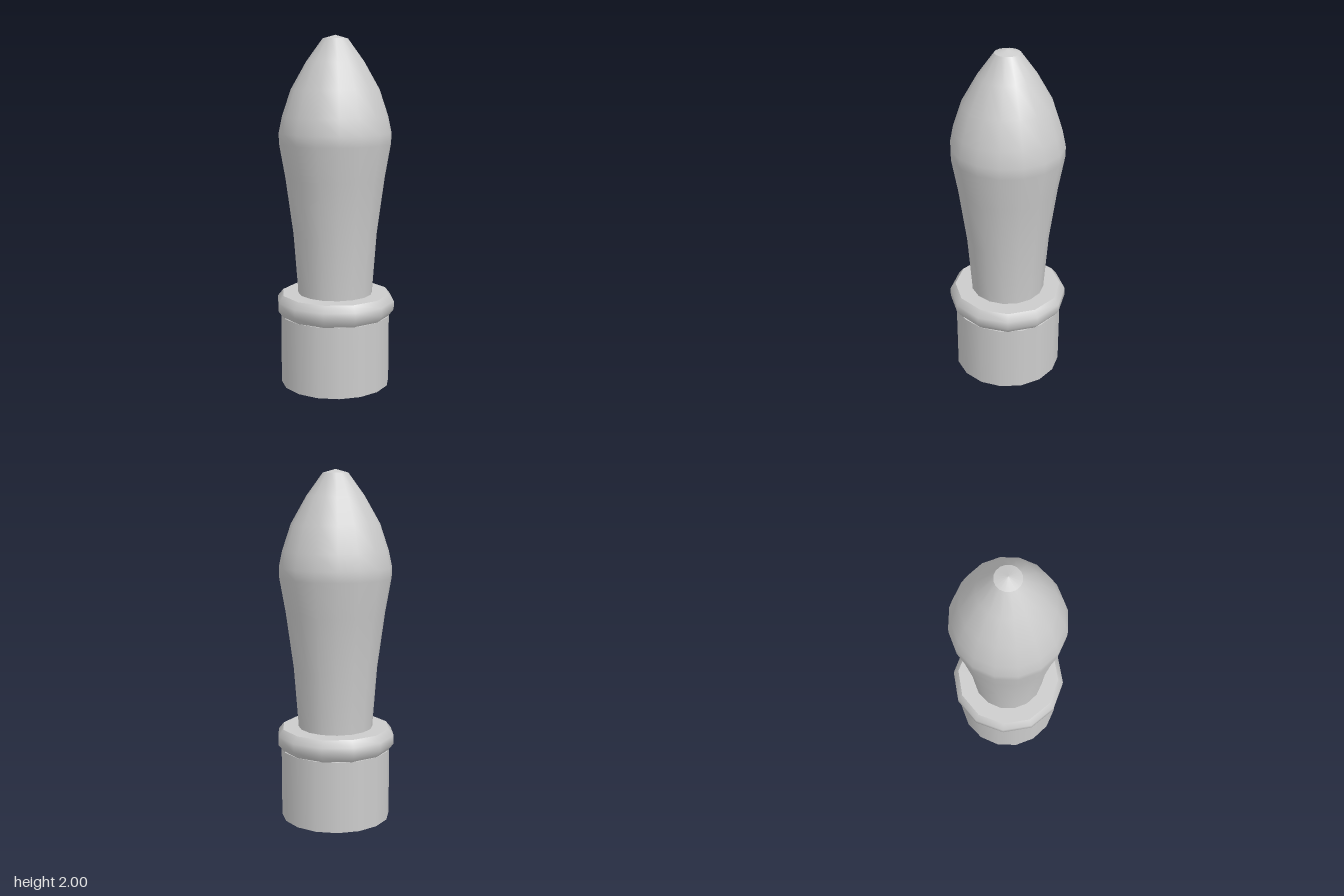
import * as THREE from 'three';

const material = new THREE.MeshStandardMaterial({ color: 0xcccccc });

function add(parent, name, geometry, y = 0) {
  const mesh = new THREE.Mesh(geometry, material);
  mesh.name = name;
  mesh.position.y = y;
  parent.add(mesh);
}

// Surface of revolution from [radius, height] pairs, listed bottom to top
function turned(profile, sides) {
  return new THREE.LatheGeometry(profile.map(([r, y]) => new THREE.Vector2(r, y)), sides);
}

// Flat disc facing up or down
function disc(radius, sides, up) {
  return new THREE.CircleGeometry(radius, sides).rotateX(up ? -Math.PI / 2 : Math.PI / 2);
}

export function createModel() {
  const model = new THREE.Group();
  model.name = 'turnedPeg';

  // Plain cylindrical foot
  add(model, 'base', new THREE.CylinderGeometry(0.315, 0.315, 0.41, 16), 0.205);

  // Collar with a rounded rim and flat faces
  const collar = new THREE.Group();
  collar.name = 'collar';
  model.add(collar);
  add(collar, 'collarRim', turned([[0.312, 0.408], [0.343, 0.448], [0.343, 0.497], [0.312, 0.535]], 12));
  add(collar, 'collarTop', disc(0.312, 12, true), 0.535);
  add(collar, 'collarUnderside', disc(0.312, 12, false), 0.408);

  // Slender stem swelling into a bulb and tapering to the tip
  add(model, 'body', turned([
    [0.21, 0.41], [0.216, 0.56], [0.24, 0.88], [0.283, 1.2], [0.318, 1.4],
    [0.319, 1.46], [0.3, 1.55], [0.25, 1.7], [0.162, 1.855], [0.071, 1.98],
  ], 16));

  // Shallow cap closing the tip
  add(model, 'tip', new THREE.ConeGeometry(0.071, 0.02, 16, 1, true), 1.99);

  return model;
}
